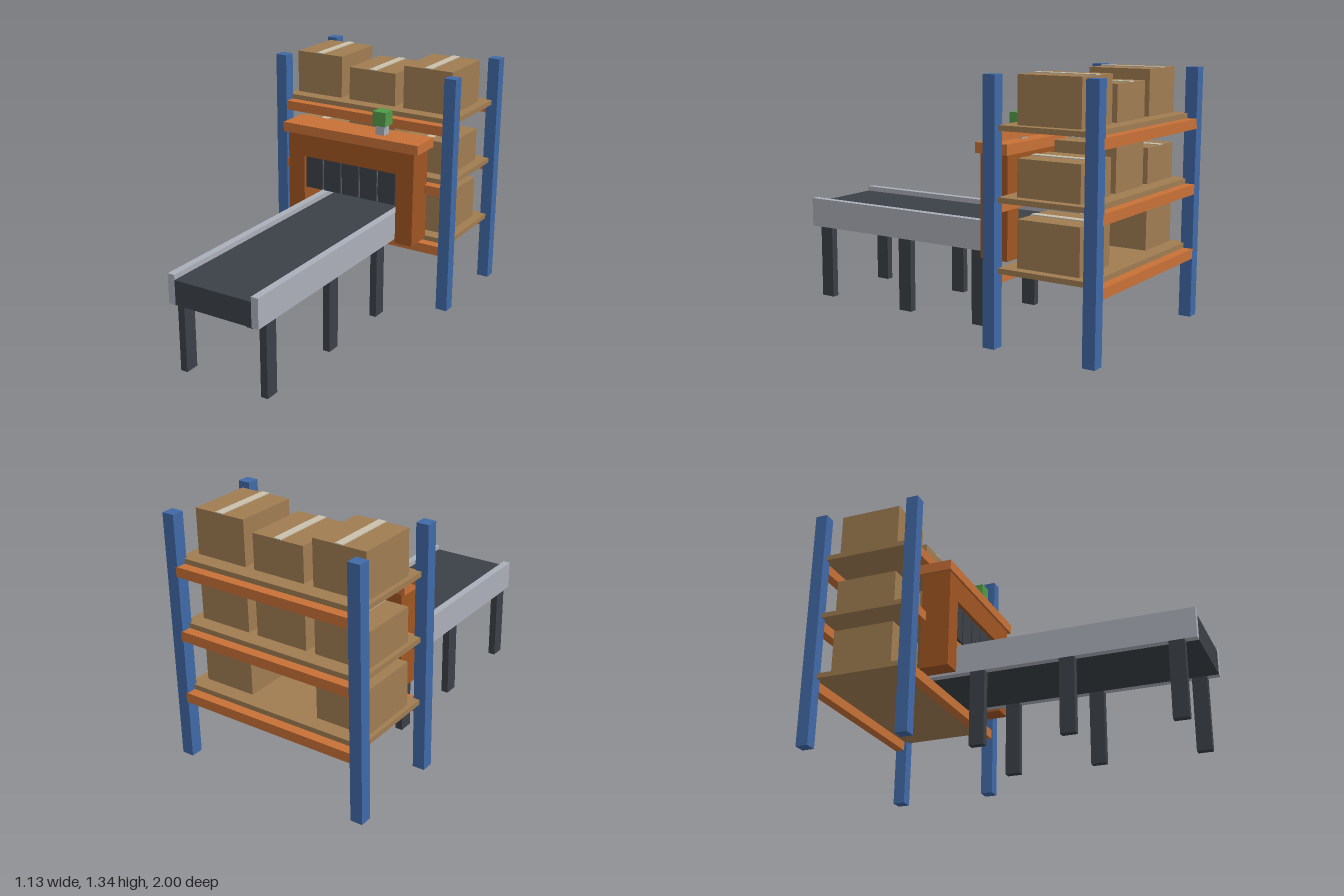
import * as THREE from 'three';

export function createModel() {
  const model = new THREE.Group();
  model.name = 'conveyorAndRack';

  const paint = (name, color) => {
    const m = new THREE.MeshStandardMaterial({ color });
    m.name = name;
    return m;
  };
  const blue = paint('rack blue', 0x4169a6);
  const orange = paint('beam orange', 0xc87137);
  const rust = paint('gate rust', 0xa05522);
  const tan = paint('cardboard tan', 0xa07d52);
  const cream = paint('tape cream', 0xc9c1ac);
  const grey = paint('rail grey', 0xabafb9);
  const dark = paint('rubber dark', 0x3c4147);
  const green = paint('lamp green', 0x529b48);

  // Box given by its lower and upper limits on each axis
  const block = (name, mat, [x0, x1], [y0, y1], [z0, z1], parent = model) => {
    const mesh = new THREE.Mesh(new THREE.BoxGeometry(x1 - x0, y1 - y0, z1 - z0), mat);
    mesh.position.set((x0 + x1) / 2, (y0 + y1) / 2, (z0 + z1) / 2);
    mesh.name = name;
    parent.add(mesh);
  };
  const group = (name) => {
    const g = new THREE.Group();
    g.name = name;
    model.add(g);
    return g;
  };
  // Same block on both sides of x = 0
  const pair = (name, mat, [x0, x1], y, z, parent) => {
    block(name + 'Left', mat, [x0, x1], y, z, parent);
    block(name + 'Right', mat, [-x1, -x0], y, z, parent);
  };

  // Rack uprights
  const rack = group('storageRack');
  pair('frontPost', blue, [0.5, 0.567], [0, 1.333], [-0.447, -0.38], rack);
  pair('backPost', blue, [0.5, 0.567], [0, 1.333], [-1, -0.933], rack);

  // Shelves with beams and taped cartons (heights left to right, 0 = empty)
  const shelves = [
    { top: 0.4, heights: [0.24, 0, 0.24] },
    { top: 0.747, heights: [0.187, 0.24, 0.187] },
    { top: 1.093, heights: [0.24, 0.187, 0.24] },
  ];
  for (const { top, heights } of shelves) {
    block('shelfDeck', tan, [-0.533, 0.533], [top - 0.027, top], [-0.948, -0.442], rack);
    const beamY = [top - 0.08, top - 0.027];
    block('frontBeam', orange, [-0.51, 0.51], beamY, [-0.442, -0.387], rack);
    block('backBeam', orange, [-0.51, 0.51], beamY, [-1, -0.948], rack);
    heights.forEach((h, i) => {
      if (!h) return;
      const x = -0.361 + i * 0.347;
      block('carton', tan, [x - 0.147, x + 0.147], [top, top + h], [-0.865, -0.52], rack);
      block('cartonTape', cream, [x - 0.021, x + 0.021], [top + h, top + h + 0.005], [-0.867, -0.519], rack);
    });
  }

  // Conveyor bed, side rails and legs
  const conveyor = group('conveyor');
  block('belt', dark, [-0.227, 0.227], [0.4, 0.533], [-0.467, 1], conveyor);
  pair('sideRail', grey, [0.227, 0.267], [0.4, 0.56], [-0.467, 1], conveyor);
  for (const z of [0.897, 0.336, -0.147]) {
    pair('leg', dark, [0.227, 0.267], [0, 0.4], [z - 0.04, z + 0.04], conveyor);
  }

  // Gate over the conveyor
  const gate = group('scanGate');
  pair('gateJamb', rust, [0.296, 0.4], [0.4, 0.933], [-0.413, -0.253], gate);
  block('gateHeader', rust, [-0.296, 0.296], [0.803, 0.933], [-0.413, -0.253], gate);
  block('gateCap', orange, [-0.427, 0.427], [0.933, 0.987], [-0.427, -0.24], gate);

  // Hanging curtain strips
  for (let i = 0; i < 5; i++) {
    const x = -0.296 + i * 0.117;
    block('curtainStrip', dark, [x, x + 0.107], [0.613, 0.803], [-0.287, -0.273], gate);
  }

  // Signal lamp
  block('lampStem', grey, [0.133, 0.187], [0.987, 1.04], [-0.36, -0.307], gate);
  block('lamp', green, [0.12, 0.2], [1.04, 1.12], [-0.373, -0.293], gate);

  return model;
}
